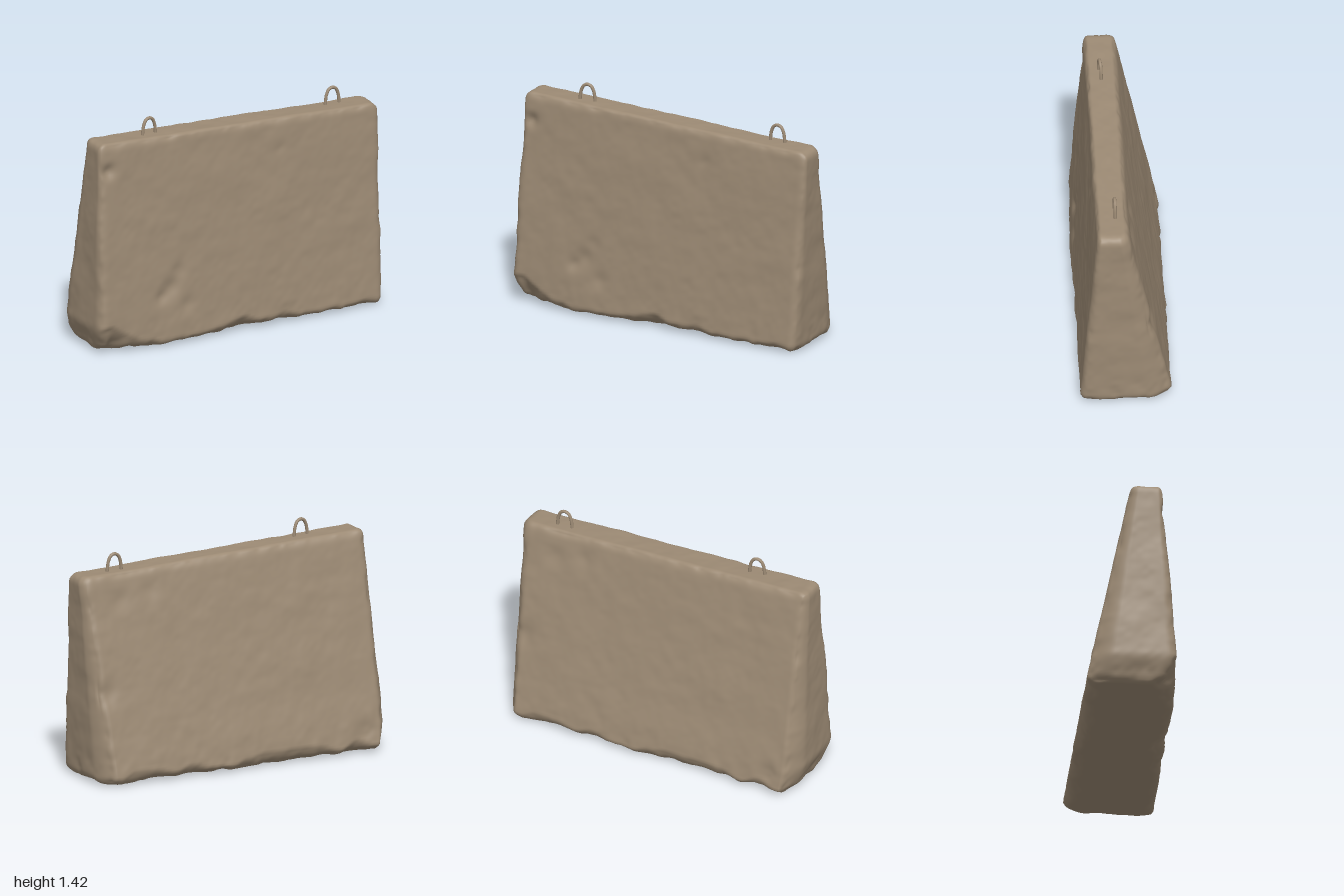
import * as THREE from 'three';
import { mergeVertices } from 'three/addons/utils/BufferGeometryUtils.js';

const { clamp, lerp, smoothstep } = THREE.MathUtils;

// Seeded lattice noise, -1..1
function hash(i, j, k) {
  const s = Math.sin(i * 127.1 + j * 311.7 + k * 74.7) * 43758.5453;
  return (s - Math.floor(s)) * 2 - 1;
}
function noise(x, y, z) {
  const i = Math.floor(x), j = Math.floor(y), k = Math.floor(z);
  const f = (t) => t * t * (3 - 2 * t);
  const u = f(x - i), v = f(y - j), w = f(z - k);
  const row = (b, c) => lerp(hash(i, b, c), hash(i + 1, b, c), u);
  const sheet = (c) => lerp(row(j, c), row(j + 1, c), v);
  return lerp(sheet(k), sheet(k + 1), w);
}
const bump = (d, r) => Math.exp(-(d * d) / (r * r));

// Local dents: face side (+1 front, -1 back), centre x, y, radius, depth
const DENTS = [
  [1, -0.50, 0.36, 0.06, 0.02], [1, -0.43, 0.46, 0.05, 0.012], [1, -0.56, 0.31, 0.04, 0.014],
  [1, -0.89, 1.15, 0.04, 0.025], [1, -0.38, 0.24, 0.05, 0.01], [1, 0.3, 1.09, 0.04, 0.006],
  [-1, 0.75, 1.1, 0.06, 0.01], [-1, 0.55, 1.13, 0.05, 0.008], [-1, -0.8, 0.14, 0.06, 0.015],
  [-1, 0.9, 0.55, 0.07, 0.02],
];

// Height of the broken lower front edge along x
function chipHeight(x) {
  return 0.035 + 0.15 * smoothstep(-x, 0.55, 1.0) + 0.05 * bump(x - 0.02, 0.16)
    + 0.03 * bump(x - 0.33, 0.12) + 0.02 * noise(x * 11, 3, 8);
}

function stoneGeometry() {
  const half = new THREE.Vector3(1, 0.65, 0.18), r = 0.05;
  let geo = new THREE.BoxGeometry(2, 1.3, 0.36, 130, 88, 30);
  geo.deleteAttribute('normal');
  geo.deleteAttribute('uv');
  geo = mergeVertices(geo);
  const pos = geo.attributes.position;
  const p = new THREE.Vector3(), inner = new THREE.Vector3(), n = new THREE.Vector3();
  const lo = half.clone().subScalar(r).negate(), hi = lo.clone().negate();

  for (let i = 0; i < pos.count; i++) {
    // Rounded edges
    p.fromBufferAttribute(pos, i);
    inner.copy(p).clamp(lo, hi);
    n.copy(p).sub(inner).normalize();
    p.copy(inner).addScaledVector(n, r);

    // Tapered wedge with a sloping top and leaning ends
    const t = (p.y + 0.65) / 1.3, s = p.z / 0.18;
    let x = lerp(lerp(-1.0, -0.945, t), lerp(0.975, 0.993, t), (p.x + 1) / 2);
    let y = lerp(0.01, 1.287 - 0.038 * x, t);
    let z = lerp(lerp(-0.287, -0.012, t), lerp(0.275, 0.172, t), (s + 1) / 2);

    // Worn back corners and lower left corner
    x -= Math.sign(x) * 0.05 * smoothstep(-s, 0.45, 1) * smoothstep(Math.abs(x), 0.8, 1) * (1 - 0.6 * t);
    x += 0.05 * smoothstep(-x, 0.85, 1) * smoothstep(0.2 - y, 0, 0.2);

    // Broken lower edges
    const chip = chipHeight(x);
    if (s > 0 && y < chip) z -= (chip - y) * 0.6 * s * (1 + 0.3 * noise(x * 15, y * 15, 2));
    const backChip = 0.07 + 0.03 * noise(x * 8, 1, 5);
    if (s < 0 && y < backChip) z += (backChip - y) * 0.6 * -s;

    // Dents on the broad faces
    for (const [side, cx, cy, rad, depth] of DENTS) {
      if (n.z * side > 0.3) z -= side * depth * bump(Math.hypot(x - cx, y - cy), rad);
    }

    // Uneven surface, rougher along edges and near the ground
    const edge = 1 - Math.max(Math.abs(n.x), Math.abs(n.y), Math.abs(n.z));
    const low = smoothstep(0.25 - y, 0, 0.25);
    const a = 0.004 * noise(x * 5, y * 5, z * 5) + (0.0025 + 0.016 * edge + 0.004 * low) * noise(x * 13, y * 13, z * 13)
      + (0.001 + 0.008 * edge + 0.002 * low) * noise(x * 28, y * 28, z * 28);
    pos.setXYZ(i, x + n.x * a, Math.max(0, y + n.y * a), z + n.z * a);
  }
  geo.computeVertexNormals();
  return geo;
}

// Bent bar loop sunk into the top
function liftingLoop(x, y, z, turn, material) {
  const points = [[-0.05, -0.04], [-0.047, 0.02], [-0.04, 0.06], [-0.024, 0.09], [0, 0.1],
    [0.024, 0.09], [0.04, 0.06], [0.047, 0.02], [0.05, -0.04]].map(([a, b]) => new THREE.Vector3(a, b, 0));
  const mesh = new THREE.Mesh(
    new THREE.TubeGeometry(new THREE.CatmullRomCurve3(points), 40, 0.01, 10), material);
  mesh.position.set(x, y, z);
  mesh.rotation.y = turn;
  mesh.name = 'liftingLoop';
  return mesh;
}

export function createModel() {
  const group = new THREE.Group();
  group.name = 'concreteBarrier';
  const concrete = new THREE.MeshStandardMaterial({ color: 0x9c8a74 });
  concrete.name = 'concrete';

  const block = new THREE.Mesh(stoneGeometry(), concrete);
  block.name = 'taperedBlock';
  group.add(block);
  group.add(liftingLoop(-0.557, 1.308, 0.09, 0.13, concrete));
  group.add(liftingLoop(0.735, 1.26, 0.058, 0.03, concrete));
  return group;
}
